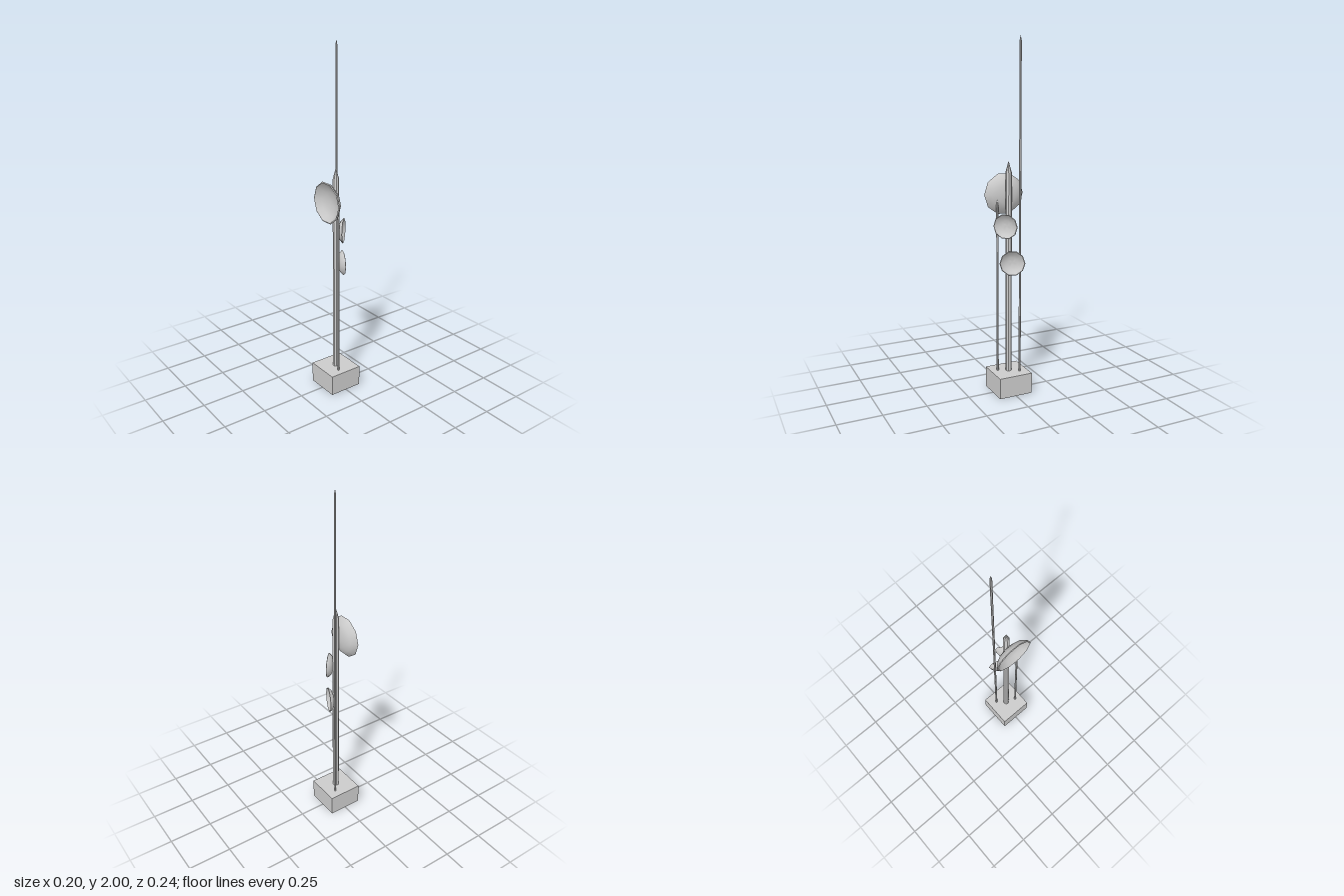
import * as THREE from 'three';
import { toCreasedNormals } from 'three/addons/utils/BufferGeometryUtils.js';

const material = new THREE.MeshStandardMaterial({ color: 0xcccccc });
const BASE_TOP = 0.12;

function addMesh(parent, name, geometry, x, y, z) {
  const mesh = new THREE.Mesh(geometry, material);
  mesh.name = name;
  mesh.position.set(x, y, z);
  parent.add(mesh);
  return mesh;
}

// Upright pole with a pointed tip, standing on the base
function pole(name, x, z, radius, shoulder, top, sides) {
  const profile = [[0, BASE_TOP], [radius, BASE_TOP], [radius, shoulder], [0, top]]
    .map(([r, y]) => new THREE.Vector2(r, y));
  const lathe = new THREE.LatheGeometry(profile, sides, Math.PI / sides);
  return [name, toCreasedNormals(lathe, 0.6), x, 0, z];
}

// Ten-sided bowl with a bevelled rim; its rim centre is the origin and it opens along +x
function dishGeometry(radius) {
  const profile = [
    [0, -0.45], [0.2, -0.44], [0.46, -0.4], [0.74, -0.3], [0.98, -0.07], [1, -0.03], [0.95, 0],
    [0.91, -0.03], [0.7, -0.23], [0.44, -0.33], [0.2, -0.38], [0, -0.39],
  ].map(([r, y]) => new THREE.Vector2(r * radius, y * radius));
  const lathe = new THREE.LatheGeometry(profile, 10);
  lathe.rotateZ(-Math.PI / 2);
  return toCreasedNormals(lathe, 0.75);
}

export function createModel() {
  const model = new THREE.Group();
  model.name = 'antennaTower';

  // Base block
  addMesh(model, 'base', new THREE.BoxGeometry(0.2, BASE_TOP, 0.2), 0, BASE_TOP / 2, 0);

  // Central mast and the two thin rods
  addMesh(model, ...pole('mast', 0, 0, 0.018, 1.27, 1.335, 8));
  addMesh(model, ...pole('tallAntenna', 0.041, -0.051, 0.006, 1.97, 2, 6));
  addMesh(model, ...pole('shortAntenna', -0.024, 0.058, 0.006, 1.09, 1.12, 6));

  // Dishes: rim centre, radius and turn about the mast
  const dishes = [
    ['largeDish', -0.067, 1.145, 0, 0.119, 180],
    ['middleDish', 0.03, 0.975, 0.034, 0.071, -45],
    ['lowerDish', 0.052, 0.768, 0.001, 0.072, -24],
  ];
  for (const [name, x, y, z, radius, turn] of dishes) {
    addMesh(model, name, dishGeometry(radius), x, y, z).rotation.y = THREE.MathUtils.degToRad(turn);
  }
  return model;
}
